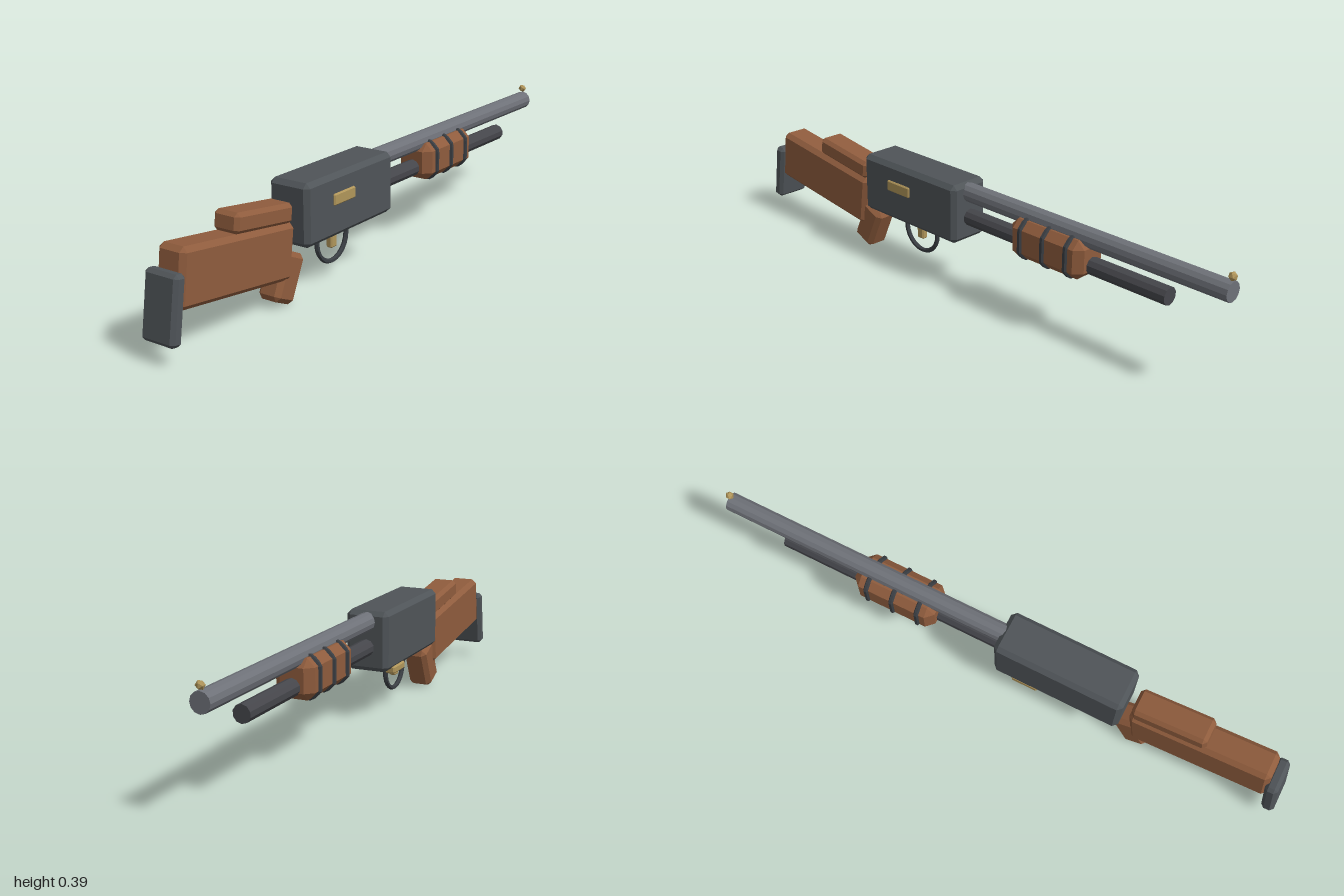
import * as THREE from 'three';
import { ConvexGeometry } from 'three/addons/geometries/ConvexGeometry.js';

function mat(name, color) {
  const m = new THREE.MeshStandardMaterial({ color, flatShading: true });
  m.name = name;
  return m;
}

// Box with every edge chamfered by b
function chamferBox(w, h, d, b) {
  const pts = [];
  const x = w / 2, y = h / 2, z = d / 2;
  for (const i of [-1, 1]) for (const j of [-1, 1]) for (const k of [-1, 1]) {
    pts.push(new THREE.Vector3(i * x, j * (y - b), k * (z - b)));
    pts.push(new THREE.Vector3(i * (x - b), j * y, k * (z - b)));
    pts.push(new THREE.Vector3(i * (x - b), j * (y - b), k * z));
  }
  return new ConvexGeometry(pts);
}

// Closed band following a chamfered rectangle
function bandGeometry(w, h, c, r) {
  const x = w / 2, y = h / 2;
  const corners = [
    [x, y - c], [x - c, y], [c - x, y], [-x, y - c],
    [-x, c - y], [c - x, -y], [x - c, -y], [x, c - y],
  ].map(([a, b]) => new THREE.Vector3(a, b, 0));
  const path = new THREE.CurvePath();
  corners.forEach((p, i) => path.add(new THREE.LineCurve3(p, corners[(i + 1) % 8])));
  return new THREE.TubeGeometry(path, 48, r, 6, true);
}

export function createModel() {
  const steel = mat('receiver steel', 0x4f5458);
  const barrelSteel = mat('barrel steel', 0x6e7178);
  const tubeSteel = mat('tube steel', 0x45464b);
  const dark = mat('dark metal', 0x3a3e43);
  const wood = mat('wood', 0x8f5c3d);
  const brass = mat('brass', 0xb0955a);

  const model = new THREE.Group();
  model.name = 'pumpActionGun';
  const cx = -0.004;

  function add(name, geometry, material, x, y, z, rx = 0) {
    const mesh = new THREE.Mesh(geometry, material);
    mesh.name = name;
    mesh.position.set(x, y, z);
    mesh.rotation.x = rx;
    model.add(mesh);
    return mesh;
  }
  // Cylinder running along z between two positions
  function rod(name, r, z0, z1, y, sides, material) {
    const g = new THREE.CylinderGeometry(r, r, Math.abs(z1 - z0), sides);
    add(name, g, material, cx, y, (z0 + z1) / 2, Math.PI / 2);
  }

  // Receiver, barrel and magazine tube
  add('receiver', chamferBox(0.146, 0.199, 0.441, 0.015), steel, cx, 0.27, 0.225);
  rod('barrel', 0.031, 0.02, -0.99, 0.335, 12, barrelSteel);
  rod('magazineTube', 0.028, 0.02, -0.79, 0.25, 10, tubeSteel);
  add('frontSight', new THREE.IcosahedronGeometry(0.014, 0), brass, cx, 0.38, -0.985);

  // Sliding forend with three grip bands
  add('forend', chamferBox(0.126, 0.125, 0.288, 0.025), wood, cx, 0.271, -0.364);
  for (const z of [-0.273, -0.364, -0.455]) {
    add('forendBand', bandGeometry(0.124, 0.122, 0.024, 0.009), dark, cx, 0.271, z);
  }

  // Stock, cheek rest, grip and butt pad
  add('stock', chamferBox(0.1, 0.175, 0.47, 0.015), wood, cx, 0.203, 0.711, -0.13);
  add('cheekRest', chamferBox(0.092, 0.062, 0.25, 0.012), wood, cx, 0.305, 0.596, -0.14);
  add('grip', chamferBox(0.082, 0.155, 0.09, 0.015), wood, cx, 0.087, 0.483, -0.43);
  add('buttPad', chamferBox(0.12, 0.2, 0.042, 0.011), steel, cx, 0.157, 0.968, -0.15);

  // Trigger and its ring guard
  const guard = add('triggerGuard', new THREE.TorusGeometry(0.075, 0.008, 6, 24), dark, cx, 0.134, 0.235);
  guard.rotation.y = Math.PI / 2;
  add('trigger', chamferBox(0.022, 0.06, 0.03, 0.004), brass, cx, 0.134, 0.235);

  // Brass ejection plate and loading plate
  add('ejectionPlate', chamferBox(0.016, 0.037, 0.107, 0.004), brass, 0.067, 0.292, 0.267);
  add('loadingPlate', chamferBox(0.034, 0.026, 0.092, 0.005), brass, -0.058, 0.165, 0.117);

  return model;
}
